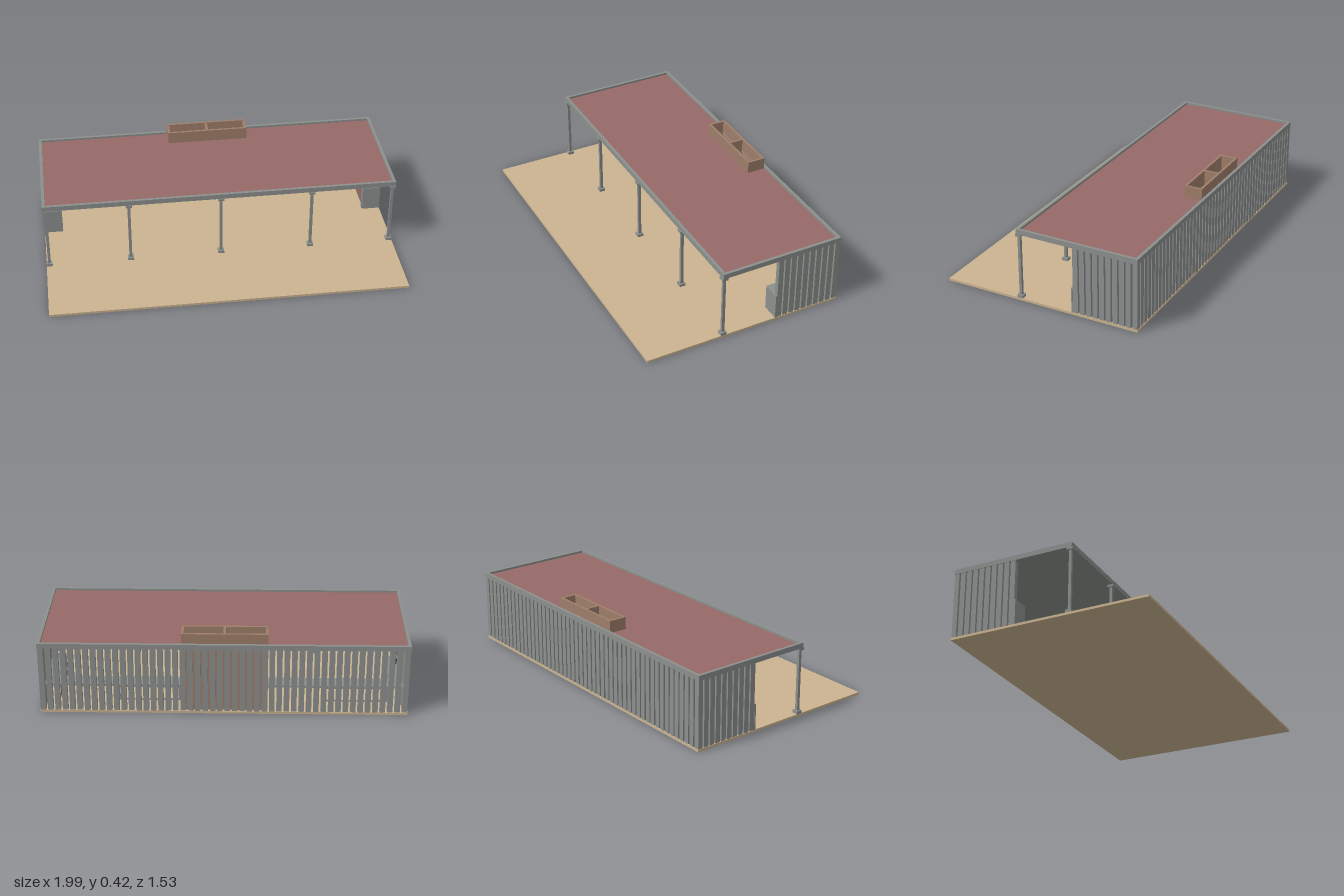
import * as THREE from 'three';

const mat = (name, color) => {
  const m = new THREE.MeshStandardMaterial({ color });
  m.name = name;
  return m;
};

export function createModel() {
  const sand = mat('sand paving', 0xcbb390);
  const red = mat('dull red', 0x966a68);
  const grey = mat('steel grey', 0x8c908d);
  const brown = mat('hearth brown', 0x9f7e6a);
  const dark = mat('dark iron', 0x3a3c3d);

  const model = new THREE.Group();
  const pavilion = new THREE.Group();
  pavilion.name = 'pavilion';
  pavilion.rotation.y = -0.33; // the building stands askew on its axes
  model.add(pavilion);

  const group = (name) => {
    const g = new THREE.Group();
    g.name = name;
    pavilion.add(g);
    return g;
  };
  // box given by its limits on each axis
  const box = (parent, name, m, x0, x1, y0, y1, z0, z1) => {
    const b = new THREE.Mesh(new THREE.BoxGeometry(x1 - x0, y1 - y0, z1 - z0), m);
    b.position.set((x0 + x1) / 2, (y0 + y1) / 2, (z0 + z1) / 2);
    b.name = name;
    parent.add(b);
    return b;
  };

  const W = 0.88, BACK = -0.507, FRONT = 0.507, EAVE = 0.12, SIDE = -0.175;
  const FLOOR = 0.012, BEAM = 0.343, TOP = 0.368;
  const CH = { x0: -0.21, x1: 0.2, z0: -0.48, z1: -0.4 };

  box(pavilion, 'floorSlab', sand, -W, W, 0, FLOOR, BACK, FRONT);

  // slatted back and side walls
  const walls = group('slattedWalls');
  const SLAT = 0.026, DEPTH = 0.024;
  const nBack = 50;
  for (let i = 0; i < nBack; i++) {
    const x = -W + 0.002 + (i * (2 * W - 0.004 - SLAT)) / (nBack - 1);
    box(walls, 'backSlat', grey, x, x + SLAT, FLOOR, BEAM, BACK + 0.002, BACK + 0.002 + DEPTH);
  }
  const nSide = 9;
  for (const s of [-1, 1]) {
    for (let i = 0; i < nSide; i++) {
      const z = BACK + 0.035 + (i * (SIDE - SLAT - BACK - 0.035)) / (nSide - 1);
      const x = s * (W - 0.002 - DEPTH / 2);
      box(walls, 'sideSlat', grey, x - DEPTH / 2, x + DEPTH / 2, FLOOR, BEAM, z, z + SLAT);
    }
  }

  // roof deck with an opening for the chimney
  const roof = group('roof');
  const deck = (name, m, y, h) => {
    const s = new THREE.Shape();
    const rect = (p, x0, x1, z0, z1) => {
      p.moveTo(x0, -z0); p.lineTo(x1, -z0); p.lineTo(x1, -z1); p.lineTo(x0, -z1); p.closePath();
    };
    rect(s, -W + 0.01, W - 0.01, BACK + 0.01, EAVE - 0.01);
    const hole = new THREE.Path();
    rect(hole, CH.x0 + 0.005, CH.x1 - 0.005, CH.z0 + 0.005, CH.z1 - 0.005);
    s.holes.push(hole);
    const d = new THREE.Mesh(new THREE.ExtrudeGeometry(s, { depth: h, bevelEnabled: false }), m);
    d.rotation.x = -Math.PI / 2;
    d.position.y = y;
    d.name = name;
    roof.add(d);
  };
  deck('roofDeck', red, 0.352, 0.005);
  deck('ceiling', grey, 0.347, 0.005);
  const E = 0.015;
  box(roof, 'backBeam', grey, -W, W, BEAM, TOP, BACK, BACK + E);
  box(roof, 'frontBeam', grey, -W, W, BEAM, TOP, EAVE - E, EAVE);
  box(roof, 'rightBeam', grey, -W, -W + E, BEAM, TOP, BACK + E, EAVE - E);
  box(roof, 'leftBeam', grey, W - E, W, BEAM, TOP, BACK + E, EAVE - E);

  // front columns with base and cap plates
  const columns = group('columns');
  for (const x of [-0.865, -0.457, 0, 0.457, 0.865]) {
    const z = 0.109;
    box(columns, 'column', grey, x - 0.007, x + 0.007, FLOOR, BEAM, z - 0.007, z + 0.007);
    box(columns, 'basePlate', grey, x - 0.015, x + 0.015, FLOOR, 0.026, z - 0.015, z + 0.015);
    box(columns, 'capPlate', grey, x - 0.015, x + 0.015, 0.331, BEAM, z - 0.015, z + 0.015);
  }

  // double hearth with hollow chimney
  const hearth = group('hearth');
  const T = 0.012, CT = 0.418;
  box(hearth, 'hearthBack', brown, CH.x0, CH.x1, FLOOR, CT, CH.z0 - T, CH.z0);
  const mid = (CH.x0 + CH.x1) / 2;
  for (const x of [CH.x0, mid - T / 2, CH.x1 - T])
    box(hearth, 'hearthCheek', brown, x, x + T, FLOOR, CT - 0.001, CH.z0, CH.z1 - T);
  box(hearth, 'chimneyFront', brown, CH.x0, CH.x1, 0.298, CT, CH.z1 - T, CH.z1);
  for (const [a, b] of [[CH.x0, CH.x0 + 0.03], [mid - 0.015, mid + 0.012], [CH.x1 - 0.02, CH.x1]])
    box(hearth, 'hearthPier', brown, a, b, FLOOR, 0.298, CH.z1 - T, CH.z1);
  for (const [a, b] of [[CH.x0 + T, mid - T / 2], [mid + T / 2, CH.x1 - T]]) {
    box(hearth, 'ashTray', dark, a, b, 0.082, 0.088, CH.z0, CH.z1 - T);
    for (let i = 0; i < 6; i++) {
      const z = CH.z0 + 0.006 + i * 0.011;
      box(hearth, 'grillBar', dark, a, b, 0.128, 0.132, z, z + 0.004);
    }
  }
  box(hearth, 'frontRail', dark, CH.x0 + 0.02, CH.x1, 0.127, 0.133, CH.z1, CH.z1 + 0.006);
  box(hearth, 'lowerRail', grey, CH.x0 + 0.02, CH.x1, 0.09, 0.096, CH.z1, CH.z1 + 0.006);

  // worktops along the back and both sides
  const counters = group('counters');
  const CTOP = 0.14, CB = -0.48, CF = -0.4, IN = 0.79;
  const panel = (name, m, w, h, x, y, z, turn = 0) => {
    const p = new THREE.Mesh(new THREE.PlaneGeometry(w, h), m);
    p.position.set(x, y, z);
    p.rotation.y = turn;
    p.name = name;
    counters.add(p);
  };
  const front = (name, m, x0, x1) =>
    panel(name, m, x1 - x0, 0.11, (x0 + x1) / 2, 0.073, CF - 0.003);
  const shelf = (x0, x1) => {
    front('shelfFront', grey, x0, x1);
    for (const y of [FLOOR, 0.082, 0.122])
      box(counters, 'shelfRail', grey, x0, x1, y, y + 0.008, CF - 0.004, CF);
    for (const x of [x0, x1 - 0.008])
      box(counters, 'shelfPost', grey, x, x + 0.008, FLOOR, 0.13, CF - 0.004, CF + 0.001);
  };
  box(counters, 'backWorktopRight', grey, -IN, CH.x0, 0.13, CTOP, CB, CF);
  box(counters, 'backWorktopLeft', grey, CH.x1, IN, 0.13, CTOP, CB, CF);
  shelf(-IN, -0.486);
  front('cupboardDoors', red, -0.486, CH.x0);
  shelf(CH.x1 + 0.01, 0.51);
  front('cupboardDoors', red, 0.51, IN);
  for (const s of [-1, 1]) {
    const [a, b] = s < 0 ? [-W + 0.026, -IN] : [IN, W - 0.026];
    box(counters, 'sideWorktop', grey, a, b, 0.13, CTOP, CB, SIDE);
    box(counters, 'counterEnd', grey, Math.min(s * IN, s * W), Math.max(s * IN, s * W),
      FLOOR, CTOP, SIDE, SIDE + 0.008);
    panel('sideCupboardDoors', red, SIDE - CF - 0.02 > 0 ? SIDE - CF - 0.02 : 0.2, 0.11,
      s * (IN + 0.002), 0.073, (SIDE + CF) / 2 - 0.01, (-s * Math.PI) / 2);
    box(counters, 'cornerPost', grey, s * IN - 0.003, s * IN + 0.003, FLOOR, 0.13, SIDE - 0.022, SIDE);
  }

  // small tap on the right-hand worktop
  const curve = new THREE.CatmullRomCurve3([[0, 0, 0], [0, 0.03, 0], [0.01, 0.04, 0], [0.02, 0.03, 0]]
    .map((p) => new THREE.Vector3(...p)));
  const tap = new THREE.Mesh(new THREE.TubeGeometry(curve, 10, 0.003, 6), dark);
  tap.position.set(-0.84, CTOP, -0.25);
  tap.name = 'tap';
  pavilion.add(tap);

  return model;
}
